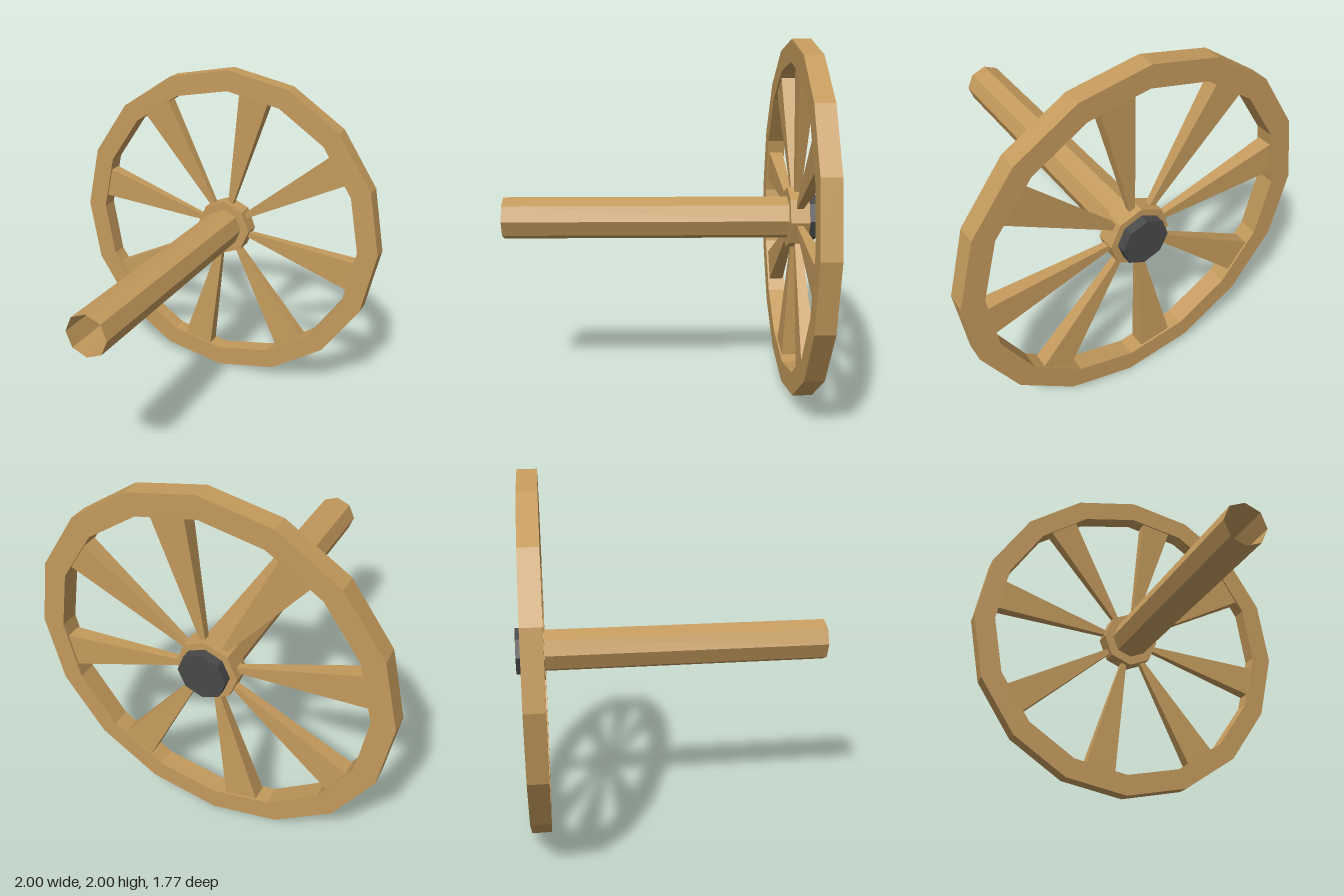
import * as THREE from 'three';

const CENTRE_Y = 1;
const WHEEL_BACK = -0.833, WHEEL_FRONT = -0.727;

// Regular polygon outline with a corner pointing straight up
function polygon(Type, radius, sides) {
  const points = [];
  for (let i = 0; i < sides; i++) {
    const a = Math.PI / 2 + (i / sides) * Math.PI * 2;
    points.push(new THREE.Vector2(radius * Math.cos(a), radius * Math.sin(a)));
  }
  return new Type(points);
}

// Flat-sided ring spanning the depth of the wheel
function ringGeometry(outer, inner, sides) {
  const shape = polygon(THREE.Shape, outer, sides);
  shape.holes.push(polygon(THREE.Path, inner, sides));
  const geometry = new THREE.ExtrudeGeometry(shape, { depth: WHEEL_FRONT - WHEEL_BACK, bevelEnabled: false });
  return geometry.translate(0, 0, WHEEL_BACK);
}

// Octagonal prism along z
function prismGeometry(radius, back, front, open) {
  return new THREE.CylinderGeometry(radius, radius, front - back, 8, 1, open)
    .rotateX(Math.PI / 2)
    .translate(0, 0, (back + front) / 2);
}

// Wedge that widens and thickens from hub to rim
function spokeGeometry() {
  const inner = 0.15, outer = 0.862;
  const geometry = new THREE.BoxGeometry(1, outer - inner, 1);
  const p = geometry.attributes.position;
  for (let i = 0; i < p.count; i++) {
    const atRim = p.getY(i) > 0;
    p.setX(i, p.getX(i) * (atRim ? 0.188 : 0.03));
    p.setZ(i, p.getZ(i) * (atRim ? 0.085 : 0.035));
  }
  geometry.translate(0, (inner + outer) / 2, (WHEEL_BACK + WHEEL_FRONT) / 2);
  geometry.computeVertexNormals();
  return geometry;
}

export function createModel() {
  const wood = new THREE.MeshStandardMaterial({ color: 0xc49a5c, flatShading: true, side: THREE.DoubleSide });
  wood.name = 'wood';
  const iron = new THREE.MeshStandardMaterial({ color: 0x484848, flatShading: true });
  iron.name = 'dark iron';

  const model = new THREE.Group();
  model.name = 'wheelAndAxle';
  model.position.y = 0;
  const assembly = new THREE.Group();
  assembly.name = 'assembly';
  assembly.position.y = CENTRE_Y;
  model.add(assembly);

  const add = (name, geometry, material) => {
    const mesh = new THREE.Mesh(geometry, material);
    mesh.name = name;
    assembly.add(mesh);
    return mesh;
  };

  add('rim', ringGeometry(1, 0.875, 16), wood);
  add('hub', ringGeometry(0.175, 0.12, 8), wood);

  // Eight spokes, each meeting the middle of a rim facet
  const spoke = spokeGeometry();
  for (let i = 0; i < 8; i++) {
    add('spoke' + (i + 1), spoke, wood).rotation.z = -Math.PI / 16 + (i * Math.PI) / 4;
  }

  // Hollow axle, closed behind the hub by the cap
  add('axle', prismGeometry(0.12, WHEEL_FRONT, 0.885, true), wood);
  add('hubCap', prismGeometry(0.135, -0.885, WHEEL_BACK, false), iron);

  return model;
}
